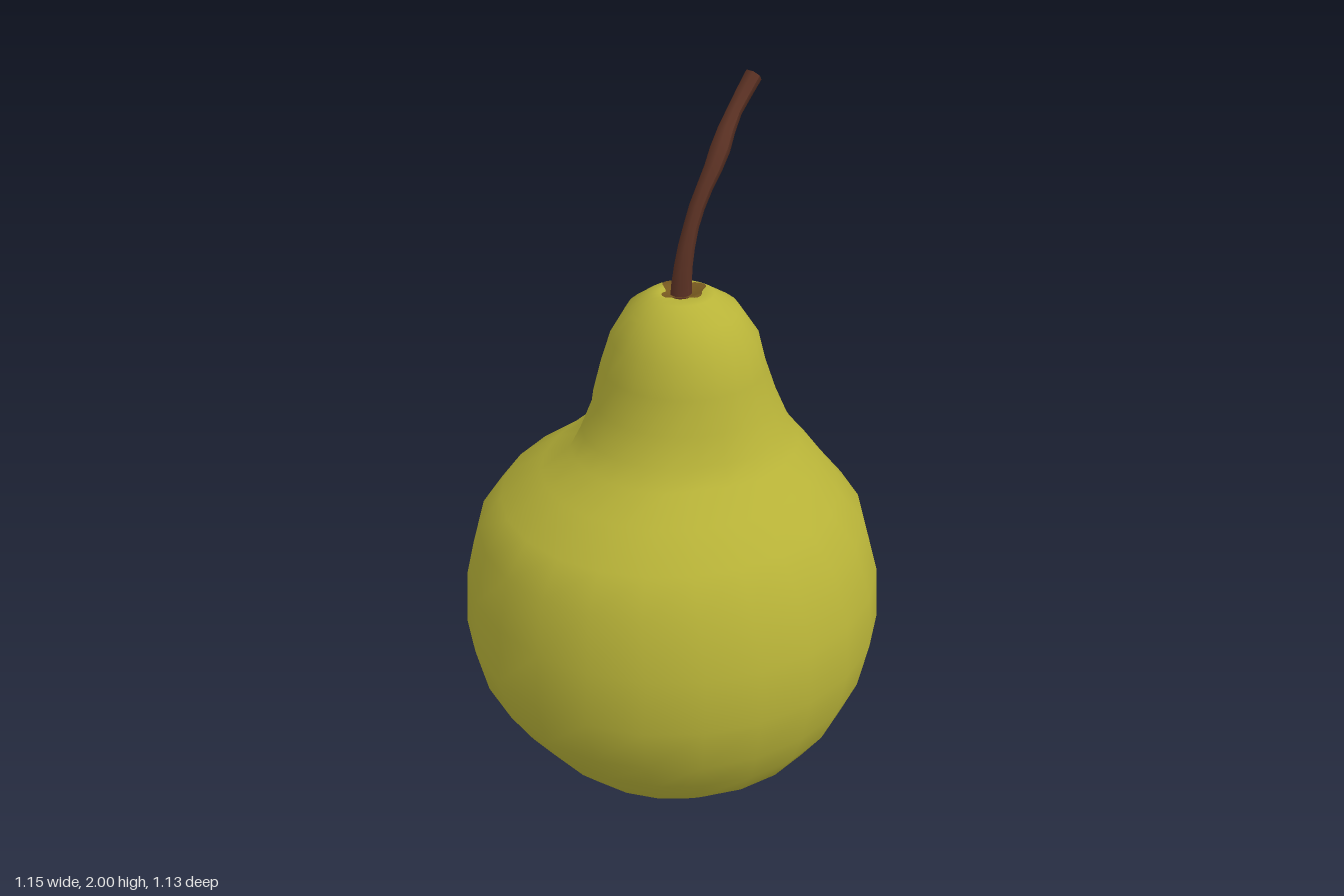
import * as THREE from 'three';

const SIDES = 24;

// Cross-sections of the fruit: y, xMin, xMax, zMin, zMax
const RINGS = [
  [0.055, 0.02, 0.02, -0.01, -0.01],
  [0.035, -0.05, 0.09, -0.08, 0.06],
  [0.004, -0.11, 0.14, -0.14, 0.12],
  [0.012, -0.17, 0.20, -0.19, 0.17],
  [0.045, -0.23, 0.26, -0.24, 0.22],
  [0.13, -0.34, 0.36, -0.36, 0.34],
  [0.21, -0.41, 0.445, -0.45, 0.43],
  [0.31, -0.48, 0.505, -0.51, 0.495],
  [0.42, -0.545, 0.55, -0.545, 0.54],
  [0.56, -0.577, 0.575, -0.567, 0.567],
  [0.71, -0.56, 0.565, -0.567, 0.555],
  [0.86, -0.53, 0.525, -0.51, 0.505],
  [0.95, -0.465, 0.45, -0.44, 0.44],
  [1.03, -0.365, 0.385, -0.335, 0.37],
  [1.09, -0.285, 0.335, -0.275, 0.31],
  [1.14, -0.25, 0.305, -0.258, 0.28],
  [1.21, -0.21, 0.275, -0.232, 0.247],
  [1.3, -0.185, 0.24, -0.205, 0.225],
  [1.38, -0.16, 0.218, -0.18, 0.205],
  [1.455, -0.115, 0.17, -0.135, 0.15],
  [1.492, -0.06, 0.11, -0.08, 0.085],
  [1.496, -0.03, 0.085, -0.05, 0.055],
  [1.475, 0.025, 0.025, 0, 0],
];

// Small hollows where the neck meets the shoulder: x, y, z, depth
const DENTS = [[-0.17, 1.1, -0.21, 0.045], [0.2, 1.1, -0.2, 0.04], [-0.1, 1.1, 0.27, 0.02]];

function bodyGeometry() {
  const pos = [], index = [];
  RINGS.forEach(([y, x0, x1, z0, z1], i) => {
    for (let j = 0; j < SIDES; j++) {
      const a = (j / SIDES) * Math.PI * 2;
      const p = new THREE.Vector3(
        (x0 + x1) / 2 + ((x1 - x0) / 2) * Math.cos(a), y,
        (z0 + z1) / 2 + ((z1 - z0) / 2) * Math.sin(a));
      // lobes around the base hollow
      if (i > 0 && i < 4) p.y += 0.007 * (1 + Math.cos(5 * a + 0.6));
      for (const [dx, dy, dz, depth] of DENTS) {
        const d2 = (p.x - dx) ** 2 + (p.y - dy) ** 2 + (p.z - dz) ** 2;
        const pull = depth * Math.exp(-d2 / 0.005);
        p.x -= Math.cos(a) * pull;
        p.z -= Math.sin(a) * pull;
      }
      pos.push(p.x, p.y, p.z);
      if (i < RINGS.length - 1) {
        const k = i * SIDES, n = (j + 1) % SIDES;
        index.push(k + j, k + SIDES + j, k + n, k + n, k + SIDES + j, k + SIDES + n);
      }
    }
  });
  const g = new THREE.BufferGeometry();
  g.setAttribute('position', new THREE.Float32BufferAttribute(pos, 3));
  g.setIndex(index);
  g.computeVertexNormals();
  return g;
}

// Thin skin patch draped on the body from above (dir 1) or below (dir -1);
// radius(a) gives the outline around the centre
function patchGeometry(body, cx, cz, radius, dir, lift = 0.005) {
  const N = 36, M = 6, pos = [], index = [];
  const ray = new THREE.Raycaster();
  const down = new THREE.Vector3(0, -dir, 0);
  for (let i = 0; i <= M; i++) {
    for (let j = 0; j < N; j++) {
      const a = (j / N) * Math.PI * 2, r = (radius(a) * (i + 0.01)) / (M + 0.01);
      const x = cx + r * Math.cos(a), z = cz + r * Math.sin(a);
      ray.set(new THREE.Vector3(x, dir > 0 ? 3 : -1, z), down);
      const hit = ray.intersectObject(body)[0];
      pos.push(x, (hit ? hit.point.y : dir > 0 ? 1.48 : 0.04) + dir * lift, z);
      if (i < M) {
        const k = i * N, n = (j + 1) % N;
        const [p, q, s, t] = [k + j, k + n, k + N + j, k + N + n];
        if (dir > 0) index.push(p, q, s, q, t, s);
        else index.push(p, s, q, q, s, t);
      }
    }
  }
  const g = new THREE.BufferGeometry();
  g.setAttribute('position', new THREE.Float32BufferAttribute(pos, 3));
  g.setIndex(index);
  g.computeVertexNormals();
  return g;
}

// Tube whose thickness follows a list of radii along the path
function taperedTube(curve, radii, segments, sides) {
  const g = new THREE.TubeGeometry(curve, segments, 1, sides);
  const p = g.attributes.position, v = new THREE.Vector3();
  for (let i = 0; i < p.count; i++) {
    const t = Math.floor(i / (sides + 1)) / segments;
    const f = t * (radii.length - 1), k = Math.min(Math.floor(f), radii.length - 2);
    const r = THREE.MathUtils.lerp(radii[k], radii[k + 1], f - k);
    const c = curve.getPointAt(t);
    v.fromBufferAttribute(p, i).sub(c).multiplyScalar(r).add(c);
    p.setXYZ(i, v.x, v.y, v.z);
  }
  g.computeVertexNormals();
  return g;
}

export function createModel() {
  const group = new THREE.Group();
  const material = (name, color) => {
    const m = new THREE.MeshStandardMaterial({ color });
    m.name = name;
    return m;
  };
  const skin = material('yellow green skin', 0xb8b338);
  const russet = material('russet brown', 0x76581f);
  const dark = material('dark brown', 0x452a16);
  const bark = material('stem brown', 0x5c3224);
  const add = (name, geometry, mat) => {
    const m = new THREE.Mesh(geometry, mat);
    m.name = name;
    group.add(m);
    return m;
  };

  const body = add('fruitBody', bodyGeometry(), skin);
  body.updateMatrixWorld();

  // Russet patch around the stem
  add('stemPatch', patchGeometry(body, 0.03, 0.003,
    (a) => 0.056 + 0.01 * Math.cos(4 * a) + 0.005 * Math.sin(3 * a), 1), russet);

  // Marks on the underside: streak, spot and dried blossom end
  const ellipse = (rx, rz) => (a) =>
    (1 + 0.12 * Math.sin(5 * a)) / Math.hypot(Math.cos(a) / rx, Math.sin(a) / rz);
  add('baseStreak', patchGeometry(body, -0.2, -0.01, ellipse(0.13, 0.045), -1, 0.006), russet);
  add('baseSpot', patchGeometry(body, -0.2, -0.15, ellipse(0.025, 0.03), -1, 0.006), russet);
  add('blossomRim', patchGeometry(body, 0.01, -0.01,
    (a) => 0.09 + 0.025 * Math.cos(5 * a + 0.6), -1, 0.004), russet);
  add('blossomEnd', patchGeometry(body, 0.01, -0.01,
    (a) => 0.065 + 0.03 * Math.cos(5 * a + 0.6), -1, 0.008), dark);

  // Curved stem with a cut end
  const path = new THREE.CatmullRomCurve3([
    [0.025, 1.46, 0], [0.028, 1.53, 0], [0.045, 1.62, 0], [0.08, 1.71, -0.003],
    [0.135, 1.8, -0.006], [0.205, 1.895, -0.03], [0.285, 1.983, -0.043],
  ].map((p) => new THREE.Vector3(...p)));
  add('stem', taperedTube(path, [0.03, 0.024, 0.02, 0.021, 0.026, 0.02, 0.023], 12, 7), bark);
  const cap = add('stemEnd', new THREE.CircleGeometry(0.023, 7), bark);
  cap.position.copy(path.getPointAt(1));
  cap.quaternion.setFromUnitVectors(new THREE.Vector3(0, 0, 1), path.getTangentAt(1));

  return group;
}
